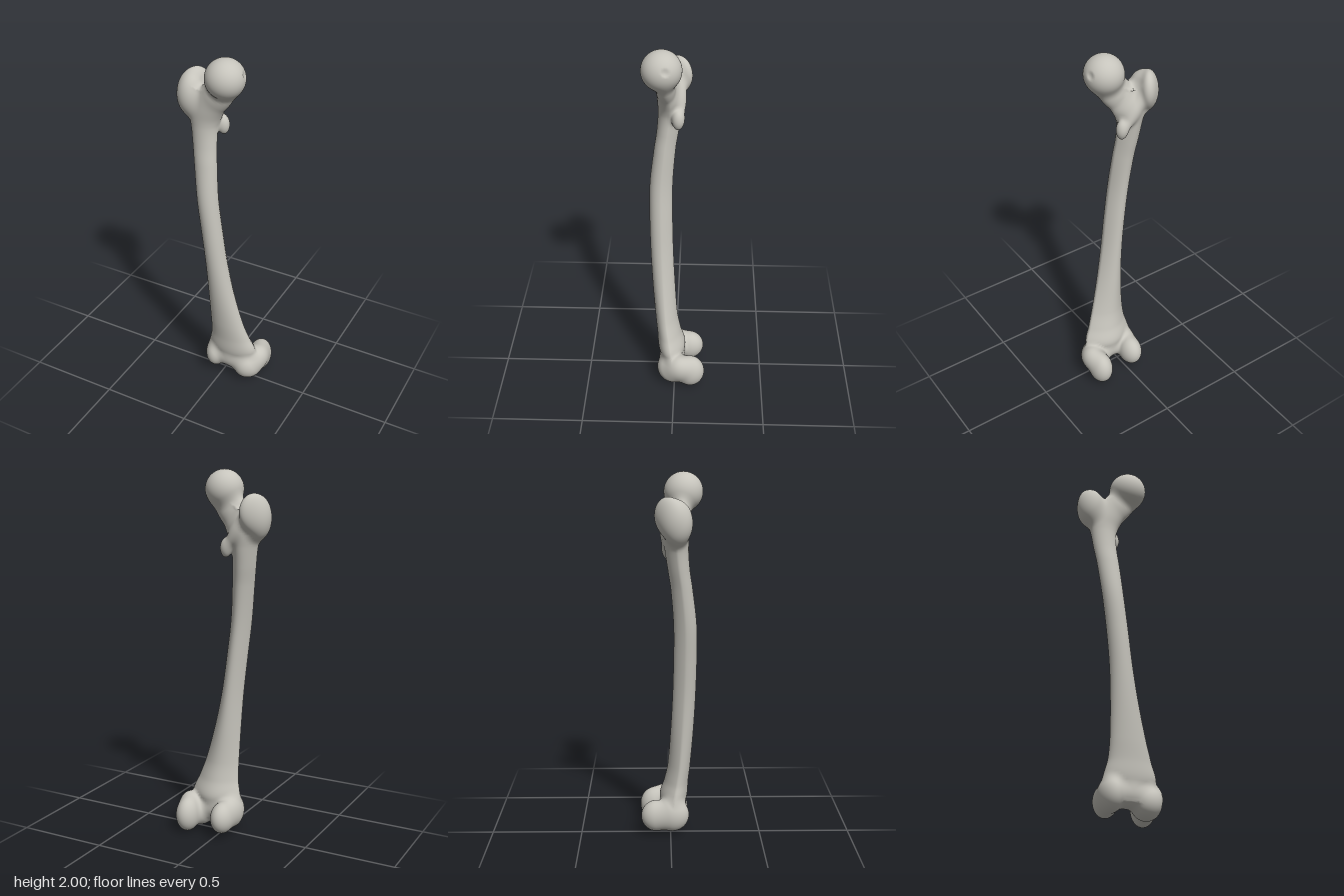
import * as THREE from 'three';

// Shaft sections: height, then the x and z limits of each section
const SECTIONS = [
  [0.10, -0.03, 0.14, -0.02, 0.06],
  [0.20, -0.085, 0.20, -0.06, 0.092],
  [0.30, -0.07, 0.168, -0.035, 0.10],
  [0.40, -0.066, 0.135, -0.015, 0.11],
  [0.60, -0.07, 0.085, 0.0, 0.125],
  [0.80, -0.08, 0.047, 0.01, 0.135],
  [1.00, -0.10, 0.02, 0.015, 0.14],
  [1.20, -0.125, -0.005, 0.015, 0.138],
  [1.40, -0.15, -0.022, 0.0, 0.115],
  [1.50, -0.165, -0.03, -0.015, 0.10],
  [1.60, -0.18, -0.03, -0.03, 0.092],
  [1.70, -0.205, -0.005, -0.042, 0.092],
  [1.80, -0.17, -0.05, -0.01, 0.07],
];
const Y0 = SECTIONS[0][0];
const Y1 = SECTIONS[SECTIONS.length - 1][0];

// Rounded masses: name, centre, radii, rotation
const MASSES = [
  ['head', [0.03, 1.897, 0.067], [0.103, 0.103, 0.103]],
  ['neck', [-0.03, 1.785, 0.05], [0.083, 0.17, 0.052], [0.08, 0, -0.66]],
  ['greaterTrochanter', [-0.18, 1.755, 0.03], [0.074, 0.115, 0.08]],
  ['trochanterCrest', [-0.18, 1.79, -0.015], [0.045, 0.096, 0.08], [0, -0.64, 0]],
  ['trochanterRidge', [-0.085, 1.69, -0.022], [0.03, 0.11, 0.03], [0, 0, 0.56]],
  ['lesserTrochanter', [-0.02, 1.6, -0.014], [0.029, 0.05, 0.03]],
  ['innerCondyleBack', [0.178, 0.1, -0.09], [0.064, 0.097, 0.081]],
  ['innerCondyleFront', [0.15, 0.1, 0.01], [0.082, 0.09, 0.09], [0, -0.5, 0]],
  ['innerEpicondyle', [0.195, 0.14, -0.03], [0.058, 0.07, 0.07]],
  ['outerCondyleBack', [-0.035, 0.115, -0.08], [0.064, 0.088, 0.084]],
  ['outerCondyleFront', [-0.045, 0.125, 0.01], [0.065, 0.095, 0.092]],
  ['kneeBridge', [0.05, 0.13, 0.015], [0.11, 0.07, 0.07]],
].map(makeMass);

// Hollows: the pit on the head and the dip behind the neck
const HOLLOWS = [
  ['headPit', [0.132, 1.93, 0.04], [0.014, 0.02, 0.02]],
  ['trochanterDip', [-0.108, 1.87, 0.0], [0.024, 0.045, 0.05]],
].map(makeMass);

function makeMass([name, centre, radii, rotation = [0, 0, 0]]) {
  const q = new THREE.Quaternion().setFromEuler(new THREE.Euler(...rotation));
  return { name, c: new THREE.Vector3(...centre), r: new THREE.Vector3(...radii), q, inv: q.clone().invert() };
}

// Smooth interpolation of the shaft sections at height y
function sectionAt(y) {
  const S = SECTIONS, n = S.length;
  const h = THREE.MathUtils.clamp(y, Y0, Y1);
  let i = 0;
  while (i < n - 2 && h > S[i + 1][0]) i++;
  const a = S[i], b = S[i + 1], p = S[Math.max(0, i - 1)], q = S[Math.min(n - 1, i + 2)];
  const d = b[0] - a[0], t = (h - a[0]) / d, t2 = t * t, t3 = t2 * t;
  const v = (k) => {
    const m0 = (b[k] - p[k]) / (b[0] - p[0]) * d;
    const m1 = (q[k] - a[k]) / (q[0] - a[0]) * d;
    return (2 * t3 - 3 * t2 + 1) * a[k] + (t3 - 2 * t2 + t) * m0 + (3 * t2 - 2 * t3) * b[k] + (t3 - t2) * m1;
  };
  const x0 = v(1), x1 = v(2), z0 = v(3), z1 = v(4);
  return { x: (x0 + x1) / 2, z: (z0 + z1) / 2, rx: (x1 - x0) / 2, rz: (z1 - z0) / 2 };
}

// Approximate distance to an ellipsoid (or ellipse when y is zero)
function roundDistance(x, y, z, rx, ry, rz) {
  const k0 = Math.hypot(x / rx, y / ry, z / rz);
  const k1 = Math.hypot(x / (rx * rx), y / (ry * ry), z / (rz * rz));
  return k0 * (k0 - 1) / Math.max(k1, 1e-4);
}

const local = new THREE.Vector3();
function massDistance(m, x, y, z) {
  local.set(x, y, z).sub(m.c).applyQuaternion(m.inv);
  return roundDistance(local.x, local.y, local.z, m.r.x, m.r.y, m.r.z);
}

// The shaft narrows to a ridge along its back
function shaftDistance(x, y, z) {
  const s = sectionAt(y);
  const dz = z - s.z;
  const back = THREE.MathUtils.clamp(-dz / s.rz, 0, 1);
  const d = roundDistance((x - s.x) * (1 + 0.35 * back), 0, dz, s.rx, 1, s.rz);
  return Math.max(d, y - Y1, Y0 - y);
}

function smoothMin(a, b, k) {
  const h = Math.max(k - Math.abs(a - b), 0) / k;
  return Math.min(a, b) - h * h * k / 4;
}

// Distance to the whole bone, with soft fillets between its parts
function boneDistance(x, y, z) {
  let d = shaftDistance(x, y, z);
  for (const m of MASSES) d = smoothMin(d, massDistance(m, x, y, z), 0.03);
  for (const m of HOLLOWS) d = -smoothMin(-d, massDistance(m, x, y, z), 0.012);
  return d;
}

function gradient(p, out) {
  const e = 0.0015;
  return out.set(
    boneDistance(p.x + e, p.y, p.z) - boneDistance(p.x - e, p.y, p.z),
    boneDistance(p.x, p.y + e, p.z) - boneDistance(p.x, p.y - e, p.z),
    boneDistance(p.x, p.y, p.z + e) - boneDistance(p.x, p.y, p.z - e),
  ).divideScalar(2 * e);
}

// Move the exposed vertices of a part onto the filleted surface
function blend(geometry) {
  const pos = geometry.attributes.position, nor = geometry.attributes.normal;
  const p = new THREE.Vector3(), g = new THREE.Vector3();
  for (let i = 0; i < pos.count; i++) {
    p.fromBufferAttribute(pos, i);
    if (boneDistance(p.x, p.y, p.z) > -0.02) {
      for (let step = 0; step < 6; step++) {
        const d = boneDistance(p.x, p.y, p.z);
        if (Math.abs(d) < 1e-4) break;
        gradient(p, g);
        const move = THREE.MathUtils.clamp(-d / Math.max(g.lengthSq(), 0.1), -0.02, 0.02);
        p.addScaledVector(g, move);
      }
    }
    gradient(p, g).normalize();
    pos.setXYZ(i, p.x, p.y, p.z);
    nor.setXYZ(i, g.x, g.y, g.z);
  }
  return geometry;
}

function shaftGeometry() {
  const geometry = new THREE.CylinderGeometry(1, 1, 1, 56, 130, true);
  const pos = geometry.attributes.position;
  for (let i = 0; i < pos.count; i++) {
    const y = THREE.MathUtils.lerp(Y0, Y1, pos.getY(i) + 0.5);
    const s = sectionAt(y);
    pos.setXYZ(i, s.x + pos.getX(i) * s.rx, y, s.z + pos.getZ(i) * s.rz);
  }
  return geometry;
}

function massGeometry(m) {
  const geometry = new THREE.SphereGeometry(1, 56, 40);
  return geometry.applyMatrix4(new THREE.Matrix4().compose(m.c, m.q, m.r));
}

export function createModel() {
  const bone = new THREE.MeshStandardMaterial({ color: 0xc6c4bc });
  bone.name = 'bone';

  const model = new THREE.Group();
  model.name = 'thighBone';
  const add = (name, geometry) => {
    const mesh = new THREE.Mesh(blend(geometry), bone);
    mesh.name = name;
    model.add(mesh);
  };

  add('shaft', shaftGeometry());
  for (const m of MASSES) add(m.name, massGeometry(m));
  return model;
}
